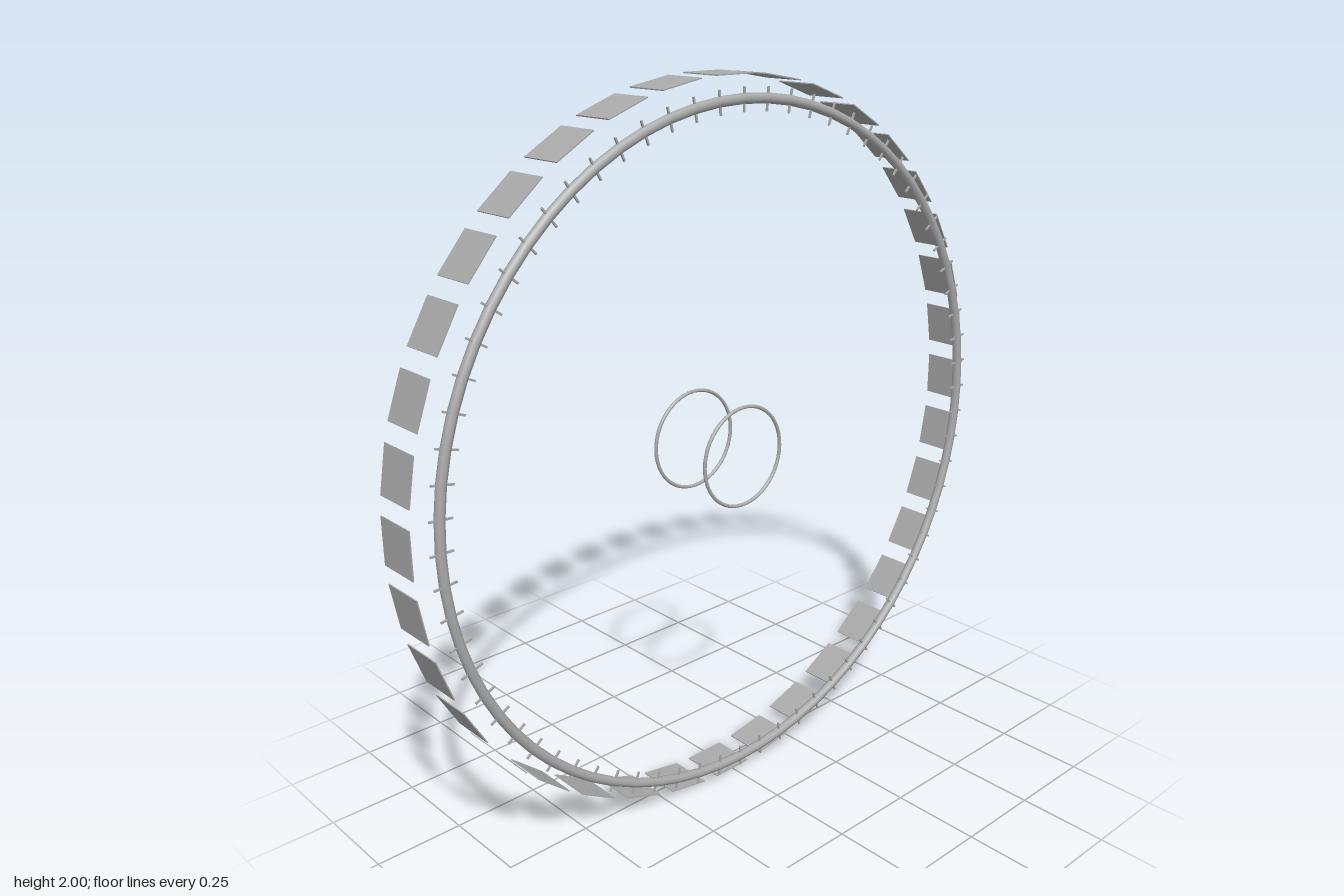
import * as THREE from 'three';

export function createModel() {
  const model = new THREE.Group();
  model.name = 'wheel';

  const grey = new THREE.MeshStandardMaterial({ color: 0xaaaaaa });
  grey.name = 'light grey';

  const CENTRE_Y = 1;
  const wheel = new THREE.Group();
  wheel.name = 'wheelAssembly';
  wheel.position.y = CENTRE_Y;
  model.add(wheel);

  // Places count copies of a part evenly around the axle
  function ringOf(name, count, geometry, radius, z) {
    const group = new THREE.Group();
    group.name = name + 's';
    for (let i = 0; i < count; i++) {
      const a = (i / count) * Math.PI * 2;
      const part = new THREE.Mesh(geometry, grey);
      part.name = name;
      part.position.set(Math.cos(a) * radius, Math.sin(a) * radius, z);
      part.rotation.z = a;
      group.add(part);
    }
    wheel.add(group);
  }

  function hoop(name, radius, tube, sides, segments, z) {
    const mesh = new THREE.Mesh(new THREE.TorusGeometry(radius, tube, sides, segments), grey);
    mesh.name = name;
    mesh.position.z = z;
    wheel.add(mesh);
  }

  // Outer paddles, flat to the rim
  ringOf('paddle', 36, new THREE.BoxGeometry(0.003, 0.125, 0.125), 0.9965, 0);

  // Front rim with short radial pegs through it
  hoop('rim', 0.94, 0.0135, 8, 72, 0.093);
  ringOf('peg', 72, new THREE.BoxGeometry(0.062, 0.005, 0.005), 0.938, 0.095);

  // Hub hoops, front and back
  for (const side of [1, -1]) {
    hoop(side > 0 ? 'frontHubHoop' : 'backHubHoop', 0.14, 0.005, 8, 48, side * 0.099);
  }

  return model;
}
